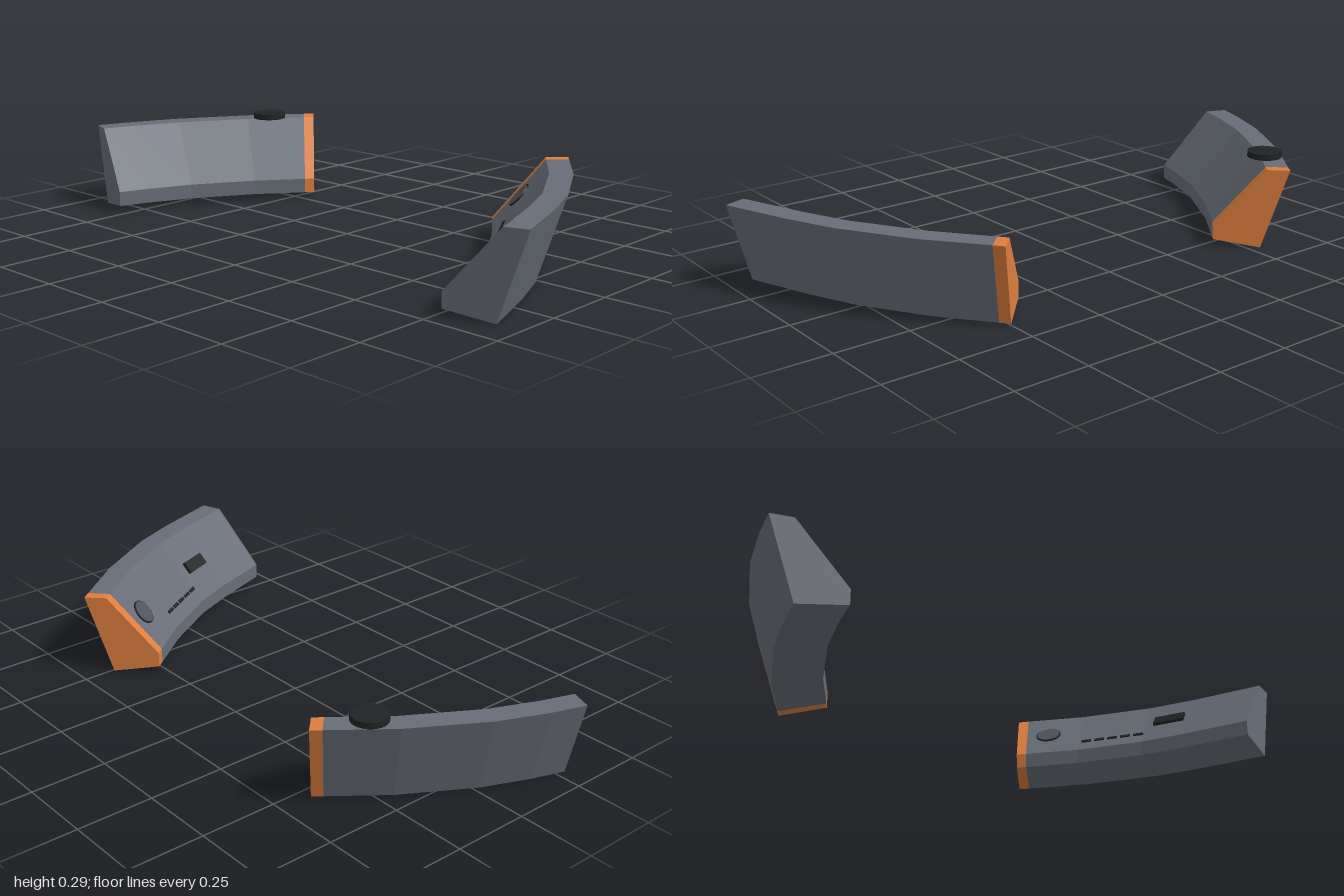
import * as THREE from 'three';

const grey = new THREE.MeshStandardMaterial({ color: 0x686d77 });
grey.name = 'slate grey';
const orange = new THREE.MeshStandardMaterial({ color: 0xdd7f3f });
orange.name = 'orange';
const black = new THREE.MeshStandardMaterial({ color: 0x222324 });
black.name = 'black';
const dial = new THREE.MeshStandardMaterial({ color: 0x50545b });
dial.name = 'dark grey';

// Cross-section: [distance inwards from the outer top edge, height]
const SECTION = [[0, 0.27], [0.074, 0.27], [0.242, 0.073], [0.242, 0.023], [0.086, 0]];

// Outer top edge from front to back: [x, z, angle of the section in degrees]
const CURVE = [
  [0.918, 0.14, 22], [0.85, -0.02, 27], [0.712, -0.25, 36],
  [0.578, -0.422, 44], [0.555, -0.452, 45],
];

function makeRing([x, z, degrees]) {
  const a = THREE.MathUtils.degToRad(degrees);
  return SECTION.map(([d, y]) => new THREE.Vector3(x - d * Math.cos(a), y, z + d * Math.sin(a)));
}

// Flat-faced solid through a row of rings, closed at both ends
function loft(rings) {
  const pos = [];
  const tri = (...points) => points.forEach((p) => pos.push(p.x, p.y, p.z));
  const n = SECTION.length;
  for (let i = 0; i < rings.length - 1; i++) {
    for (let j = 0; j < n; j++) {
      const k = (j + 1) % n;
      const [a, b, c, d] = [rings[i][j], rings[i + 1][j], rings[i + 1][k], rings[i][k]];
      tri(a, b, c);
      tri(a, c, d);
    }
  }
  const last = rings[rings.length - 1];
  for (let j = 1; j < n - 1; j++) {
    tri(rings[0][0], rings[0][j], rings[0][j + 1]);
    tri(last[0], last[j + 1], last[j]);
  }
  const geometry = new THREE.BufferGeometry();
  geometry.setAttribute('position', new THREE.Float32BufferAttribute(pos, 3));
  geometry.computeVertexNormals();
  return geometry;
}

// Mirror a geometry across x, keeping its faces outwards
function mirror(geometry) {
  const p = geometry.attributes.position;
  const v = [0, 1, 2].map(() => new THREE.Vector3());
  for (let i = 0; i < p.count; i += 3) {
    v.forEach((q, k) => q.fromBufferAttribute(p, i + k));
    [v[0], v[2], v[1]].forEach((q, k) => p.setXYZ(i + k, -q.x, q.y, q.z));
  }
  geometry.computeVertexNormals();
  return geometry;
}

function addMesh(parent, name, geometry, material) {
  const mesh = new THREE.Mesh(geometry, material);
  mesh.name = name;
  parent.add(mesh);
  return mesh;
}

// Put a part on the inner slope: u counts segments from the front, v runs down
function placeOnSlope(mesh, rings, u, v) {
  const i = Math.floor(u);
  const f = u - i;
  const top = rings[i][1].clone().lerp(rings[i + 1][1], f);
  const low = rings[i][2].clone().lerp(rings[i + 1][2], f);
  const along = rings[i + 1][1].clone().sub(rings[i][1])
    .lerp(rings[i + 1][2].clone().sub(rings[i][2]), v).normalize();
  const normal = along.clone().cross(low.clone().sub(top)).normalize();
  if (normal.y < 0) normal.negate();
  const side = along.clone().cross(normal);
  mesh.quaternion.setFromRotationMatrix(new THREE.Matrix4().makeBasis(along, normal, side));
  mesh.position.copy(top.lerp(low, v));
}

export function createModel() {
  const model = new THREE.Group();
  model.name = 'pair of curved consoles';

  // Left console: the longer one, carrying the controls
  const leftConsole = new THREE.Group();
  leftConsole.name = 'leftConsole';
  model.add(leftConsole);
  const rings = [[1, 0.37, 19], ...CURVE].map(makeRing);
  addMesh(leftConsole, 'leftBody', loft(rings.slice(0, 5)), grey);
  addMesh(leftConsole, 'leftEndCap', loft(rings.slice(4)), orange);

  // Round dial, switch block and a row of dashes on the inner slope
  const ring = addMesh(leftConsole, 'dialRim', new THREE.CylinderGeometry(0.044, 0.044, 0.008, 32), black);
  placeOnSlope(ring, rings, 3.6, 0.5);
  const face = addMesh(leftConsole, 'dialFace', new THREE.CylinderGeometry(0.04, 0.04, 0.012, 32), dial);
  placeOnSlope(face, rings, 3.6, 0.5);
  const block = addMesh(leftConsole, 'switchBlock', new THREE.BoxGeometry(0.11, 0.022, 0.045), black);
  placeOnSlope(block, rings, 1.46, 0.5);
  for (let i = 0; i < 5; i++) {
    const dash = addMesh(leftConsole, 'slopeDash', new THREE.BoxGeometry(0.035, 0.008, 0.012), black);
    placeOnSlope(dash, rings, 2.08 + i * 0.2, 0.78);
  }

  // Right console: mirrored and shorter at the front
  const rightConsole = new THREE.Group();
  rightConsole.name = 'rightConsole';
  model.add(rightConsole);
  const rightRings = [[0.955, 0.25, 21], ...CURVE]
    .map(([x, z, a]) => makeRing([x + 0.045, z, a]));
  addMesh(rightConsole, 'rightBody', mirror(loft(rightRings.slice(0, 5))), grey);
  addMesh(rightConsole, 'rightEndCap', mirror(loft(rightRings.slice(4))), orange);

  // Knob on top
  const knob = addMesh(rightConsole, 'topKnob', new THREE.CylinderGeometry(0.058, 0.058, 0.02, 32), black);
  knob.position.set(-0.66, 0.28, -0.28);

  return model;
}
